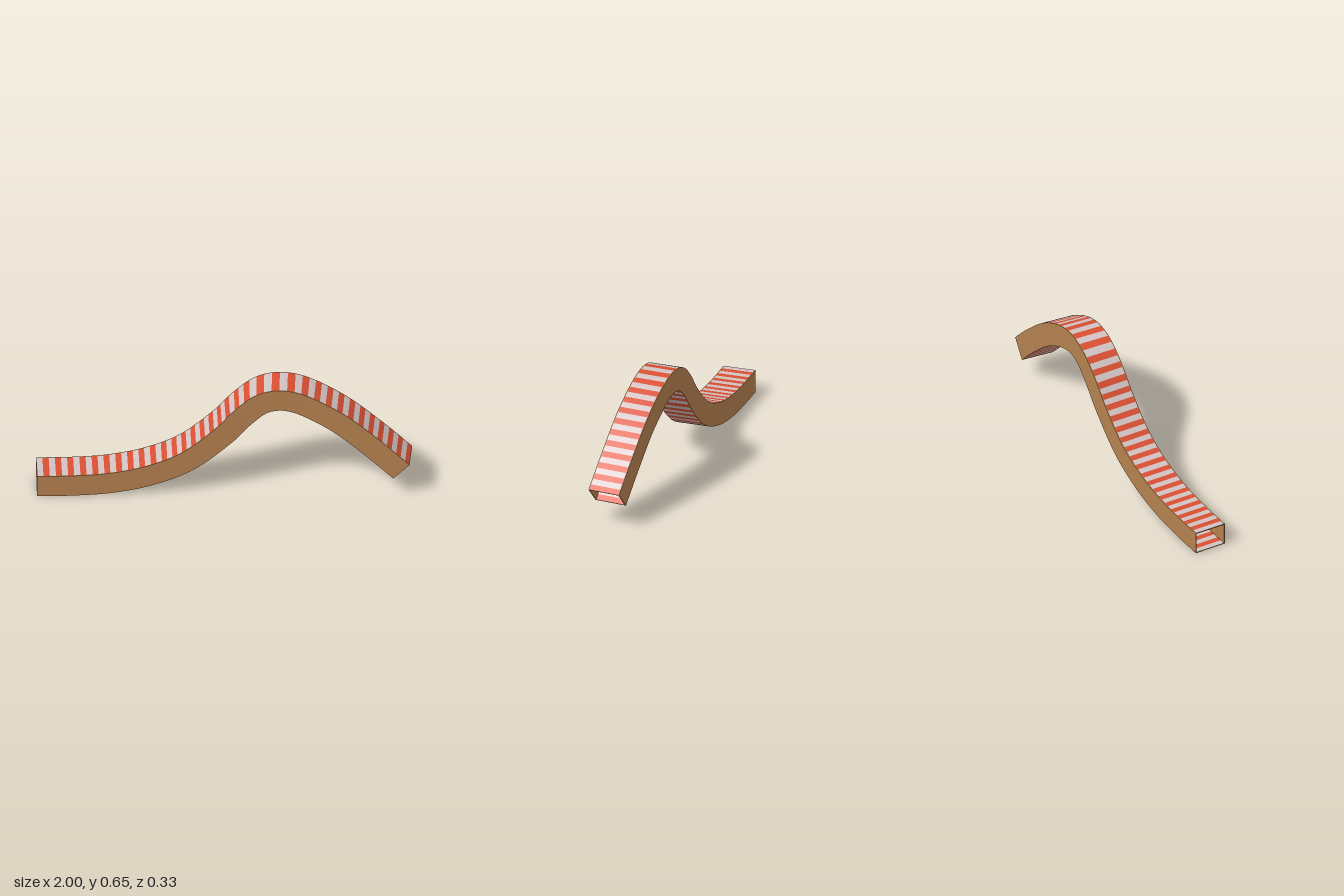
import * as THREE from 'three';

const brown = new THREE.MeshStandardMaterial({ color: 0xb5814f, side: THREE.DoubleSide });
brown.name = 'brown';
const red = new THREE.MeshStandardMaterial({ color: 0xd94f32, side: THREE.DoubleSide });
red.name = 'red';
const pale = new THREE.MeshStandardMaterial({ color: 0xd2c3c3, side: THREE.DoubleSide });
pale.name = 'pale';

const WIDTH = 0.18, HEIGHT = 0.127, WALL = 0.005;
const BANDS = 68, STEPS = 3;           // colour bands, and rings per band
const RINGS = BANDS * STEPS;

// Centre line of the channel
const path = new THREE.CatmullRomCurve3([
  [-0.99, 0.066, 0.072], [-0.8, 0.065, 0.05], [-0.6, 0.077, 0.027], [-0.4, 0.118, 0.004],
  [-0.2, 0.203, -0.019], [0, 0.37, -0.042], [0.1, 0.482, -0.054], [0.2, 0.565, -0.064],
  [0.295, 0.59, -0.07], [0.4, 0.573, -0.075], [0.6, 0.468, -0.078], [0.8, 0.305, -0.08],
  [0.955, 0.16, -0.08],
].map((p) => new THREE.Vector3(...p)), false, 'centripetal');
path.arcLengthDivisions = 1000;

// Level frames along the path: side stays horizontal, so the channel never rolls
const frames = Array.from({ length: RINGS + 1 }, (_, i) => {
  const t = path.getTangentAt(i / RINGS);
  const side = new THREE.Vector3(-t.z, 0, t.x).normalize();
  return { p: path.getPointAt(i / RINGS), side, up: side.clone().cross(t).negate() };
});

// Sweeps a rectangle (s0..s1 sideways, u0..u1 upward) along the path
function sweep(name, s0, s1, u0, u1, striped) {
  const corners = [[s0, u0], [s1, u0], [s1, u1], [s0, u1]];
  const pos = [], index = [];
  const geo = new THREE.BufferGeometry();
  const put = ({ p, side, up }, [s, u]) => {
    const v = p.clone().addScaledVector(side, s).addScaledVector(up, u);
    pos.push(v.x, v.y, v.z);
  };
  corners.forEach((a, k) => {
    const base = pos.length / 3;
    frames.forEach((f) => { put(f, a); put(f, corners[(k + 1) % 4]); });
    for (let i = 0; i < RINGS; i++) {
      const q = base + i * 2;
      if (i % STEPS === 0) {
        geo.addGroup(index.length, STEPS * 6, striped ? 1 + ((i / STEPS) % 2) : 0);
      }
      index.push(q, q + 2, q + 1, q + 1, q + 2, q + 3);
    }
  });
  // Plain end caps
  [frames[0], frames[RINGS]].forEach((f, end) => {
    const b = pos.length / 3;
    corners.forEach((c) => put(f, c));
    geo.addGroup(index.length, 6, 0);
    index.push(...(end ? [b, b + 2, b + 1, b, b + 3, b + 2] : [b, b + 1, b + 2, b, b + 2, b + 3]));
  });
  // Face order follows the handedness of the frame
  const f = frames[0];
  if (f.side.clone().cross(f.up).dot(path.getTangentAt(0)) > 0) {
    for (let i = 0; i < index.length; i += 3) [index[i + 1], index[i + 2]] = [index[i + 2], index[i + 1]];
  }
  geo.setAttribute('position', new THREE.Float32BufferAttribute(pos, 3));
  geo.setIndex(index);
  geo.computeVertexNormals();
  const mesh = new THREE.Mesh(geo, striped ? [brown, pale, red] : brown);
  mesh.name = name;
  return mesh;
}

export function createModel() {
  const group = new THREE.Group();
  group.name = 'curvedChannel';
  const w = WIDTH / 2, h = HEIGHT / 2;
  // Plain side walls
  group.add(sweep('frontWall', w - WALL, w, -h, h, false));
  group.add(sweep('backWall', -w, -w + WALL, -h, h, false));
  // Striped floor and roof between the walls
  group.add(sweep('roof', -w + WALL, w - WALL, h - WALL, h, true));
  group.add(sweep('floor', -w + WALL, w - WALL, -h, -h + WALL, true));
  return group;
}
